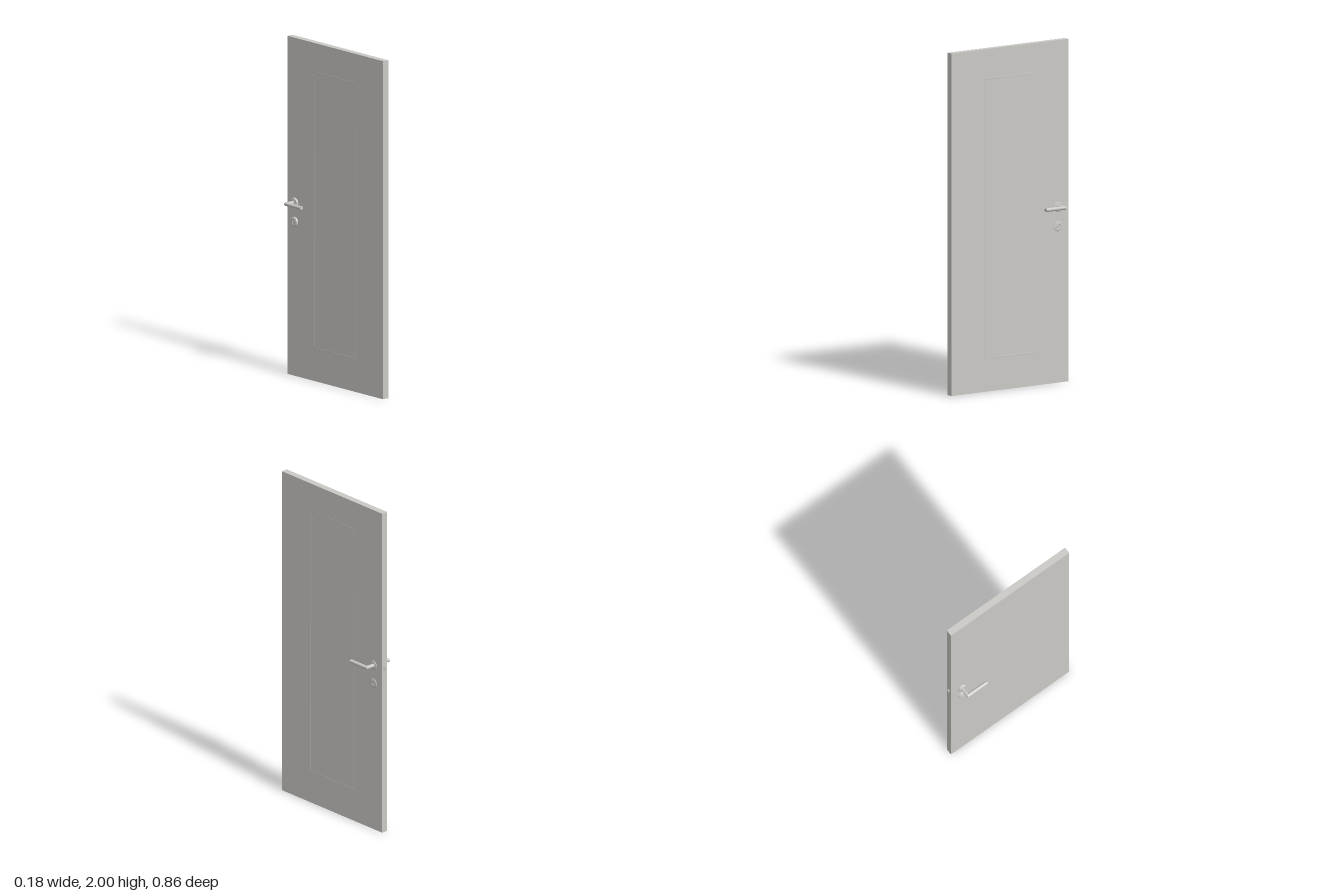
import * as THREE from 'three';
import { toCreasedNormals } from 'three/addons/utils/BufferGeometryUtils.js';

const HANDLE_Y = 1.027, KEY_Y = 0.913, LOCK_Z = -0.349;
const FACE = { '-1': -0.012, '1': 0.028 }; // x of the two door faces

export function createModel() {
  const model = new THREE.Group();
  model.name = 'door';
  const paint = new THREE.MeshStandardMaterial({ color: 0xcbc9c5 });
  paint.name = 'warmGrey';

  const add = (name, geometry, x = 0, y = 0, z = 0, parent = model) => {
    const mesh = new THREE.Mesh(geometry, paint);
    mesh.name = name;
    mesh.position.set(x, y, z);
    parent.add(mesh);
    return mesh;
  };

  // Slab
  add('slab', new THREE.BoxGeometry(0.04, 2, 0.85), 0.008, 1, 0.002);

  // Rectangular moulding with a rounded profile, seen along x
  const rect = (shape, w, h) => {
    shape.moveTo(-w, -h).lineTo(w, -h).lineTo(w, h).lineTo(-w, h).closePath();
    return shape;
  };
  const mouldingGeometry = (side) => {
    const bevel = 0.005;
    const frame = rect(new THREE.Shape(), 0.192 - bevel, 0.823 - bevel);
    frame.holes.push(rect(new THREE.Path(), 0.178 + bevel, 0.809 + bevel));
    const g = new THREE.ExtrudeGeometry(frame, {
      depth: 0.002, bevelEnabled: true, bevelSize: bevel, bevelThickness: bevel, bevelSegments: 4,
    });
    return toCreasedNormals(g.rotateY(side * Math.PI / 2), 0.6);
  };

  // Round rose; an open rose has a recess for the lock core
  const roseGeometry = (side, open) => {
    const profile = [[0, 0], [0.03, 0], [0.03, 0.008], [0.0285, 0.011], [0.025, 0.012]];
    if (open) profile.push([0.013, 0.012], [0.012, 0.009]);
    profile.push([0, open ? 0.009 : 0.012]);
    const g = new THREE.LatheGeometry(profile.map(([r, h]) => new THREE.Vector2(r, h)), 32);
    return toCreasedNormals(g.rotateZ(-side * Math.PI / 2), 0.7);
  };

  // Lever: neck and grip meet in a 45 degree mitre
  const R = 0.011, REACH = 0.081, GRIP = 0.135;
  const mitre = (geometry, rule) => {
    const p = geometry.attributes.position;
    for (let i = 0; i < p.count; i++) rule(p, i);
    return geometry;
  };
  const neckGeometry = (side) => mitre(
    new THREE.CylinderGeometry(R, R, REACH, 24).rotateZ(Math.PI / 2).translate(side * REACH / 2, 0, 0),
    (p, i) => { if (p.getX(i) * side > REACH / 2) p.setX(i, side * (REACH - p.getZ(i))); });
  const gripGeometry = (side) => mitre(
    new THREE.CylinderGeometry(R, R, GRIP, 24).rotateX(Math.PI / 2).translate(side * REACH, 0, GRIP / 2),
    (p, i) => { if (p.getZ(i) < GRIP / 2) p.setZ(i, REACH - p.getX(i) * side); });

  for (const side of [-1, 1]) {
    const label = side > 0 ? 'left' : 'right';
    add(label + 'Moulding', mouldingGeometry(side), FACE[side] - side * 0.006, 1.011, 0.001);

    const handle = new THREE.Group();
    handle.name = label + 'Handle';
    handle.position.set(0, HANDLE_Y, LOCK_Z - 0.002);
    model.add(handle);
    add('neck', neckGeometry(side), 0, 0, 0, handle);
    add('grip', gripGeometry(side), 0, 0, 0, handle);
    add('rose', roseGeometry(side, false), side * 0.019, 0, 0.003, handle);

    add(label + 'KeyRose', roseGeometry(side, true), side * 0.019, KEY_Y, LOCK_Z);
  }

  // Lock core through the door, with a narrower tail below it
  add('lockCore', new THREE.CylinderGeometry(0.0085, 0.0085, 0.06, 20).rotateZ(Math.PI / 2), 0, KEY_Y + 0.003, LOCK_Z);
  add('lockTail', new THREE.BoxGeometry(0.0595, 0.012, 0.009), 0, KEY_Y - 0.005, LOCK_Z);

  // Latch on the closing edge
  add('latchPlate', new THREE.BoxGeometry(0.022, 0.085, 0.002), 0.008, HANDLE_Y - 0.005, -0.423);
  const wedge = new THREE.Shape();
  wedge.moveTo(0, 0).lineTo(0.018, 0).lineTo(0.012, 0.008).lineTo(0.007, 0.008).closePath();
  const latch = new THREE.ExtrudeGeometry(wedge, { depth: 0.028, bevelEnabled: false }).rotateX(-Math.PI / 2);
  add('latchBolt', latch, 0, HANDLE_Y - 0.014, -0.4225);

  return model;
}
